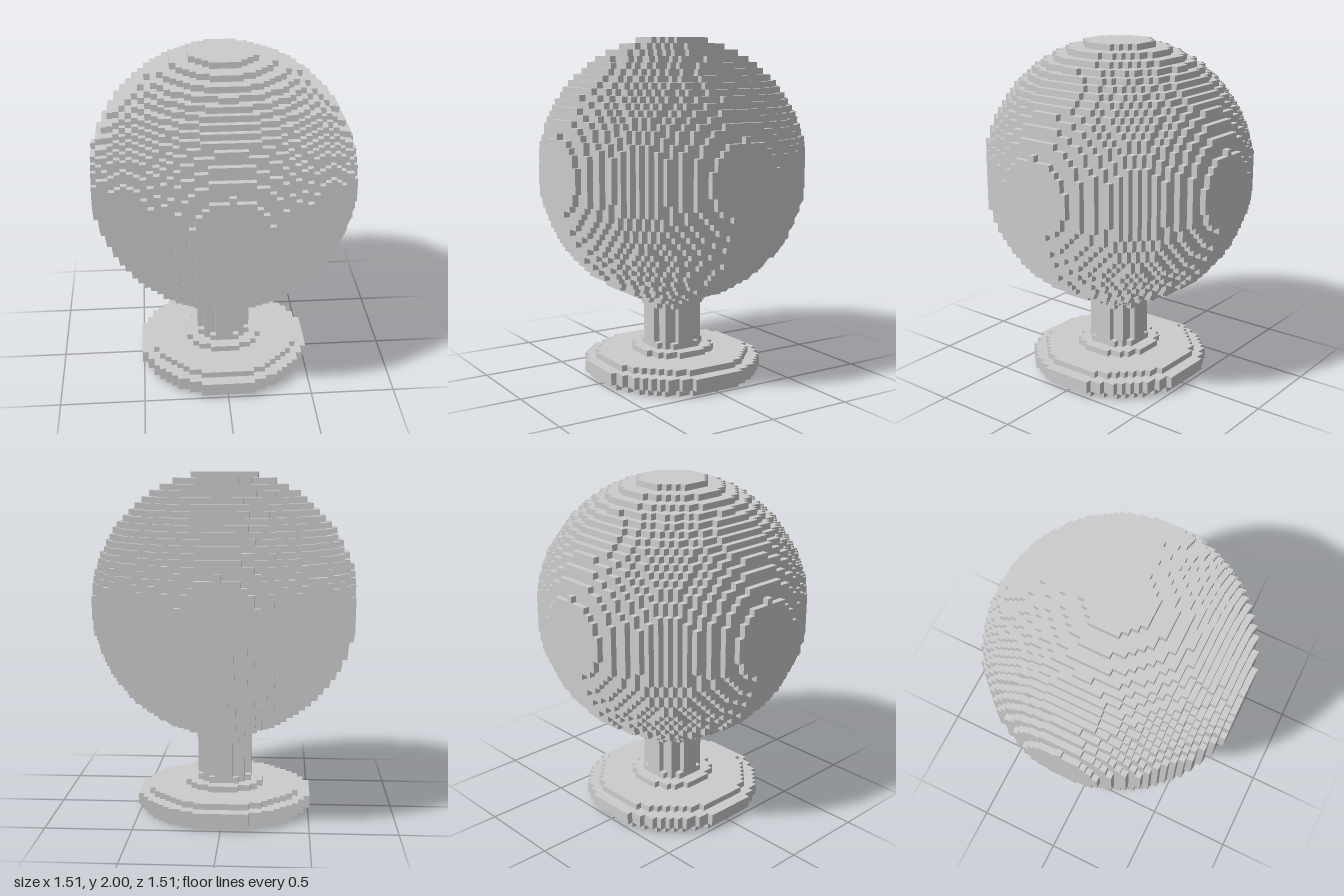
import * as THREE from 'three';

const ROWS = 57;            // voxel layers from floor to top
const S = 2 / ROWS;         // voxel size
const REACH = 21;           // voxels either side of the centre

// Squared disc radius (in voxels) of each layer
const foot = [190, 213, 213, 160, 42];
function radiusSq(row) {
  if (row < 0 || row >= ROWS) return -1;
  if (row < 5) return foot[row];                         // stepped foot
  if (row < 13) return row === 5 || row === 12 ? 21 : 18; // stem, flared at both ends
  if (row === 13) return 26;                             // collar
  return 480.7 - (row - 34.75) ** 2;                     // ball
}
const filled = ([x, y, z]) => x * x + z * z <= radiusSq(y);

// Exposed voxel faces of the layers from..to
function voxelPart(name, from, to) {
  const positions = [], normals = [], index = [];
  const addFace = (cell, axis, sign) => {
    const u = (axis + 1) % 3, v = (axis + 2) % 3;
    const first = positions.length / 3;
    for (const [a, b] of [[-1, -1], [1, -1], [1, 1], [-1, 1]]) {
      const p = [...cell];
      p[axis] += sign / 2;
      p[u] += a / 2;
      p[v] += b / 2;
      positions.push(p[0] * S, (p[1] + 0.5) * S, p[2] * S);
      const n = [0, 0, 0];
      n[axis] = sign;
      normals.push(...n);
    }
    const order = sign > 0 ? [0, 1, 2, 0, 2, 3] : [0, 2, 1, 0, 3, 2];
    index.push(...order.map((i) => first + i));
  };
  for (let y = from; y <= to; y++)
    for (let x = -REACH; x <= REACH; x++)
      for (let z = -REACH; z <= REACH; z++) {
        const cell = [x, y, z];
        if (!filled(cell)) continue;
        for (let axis = 0; axis < 3; axis++)
          for (const sign of [-1, 1]) {
            const next = [...cell];
            next[axis] += sign;
            if (!filled(next)) addFace(cell, axis, sign);
          }
      }
  const geometry = new THREE.BufferGeometry();
  geometry.setAttribute('position', new THREE.Float32BufferAttribute(positions, 3));
  geometry.setAttribute('normal', new THREE.Float32BufferAttribute(normals, 3));
  geometry.setIndex(index);
  const mesh = new THREE.Mesh(geometry, new THREE.MeshStandardMaterial({ color: 0xcccccc, flatShading: true }));
  mesh.name = name;
  return mesh;
}

export function createModel() {
  const model = new THREE.Group();
  model.name = 'ballOnStand';
  model.add(
    voxelPart('foot', 0, 4),
    voxelPart('stem', 5, 12),
    voxelPart('collar', 13, 13),
    voxelPart('ball', 14, ROWS - 1),
  );
  return model;
}
